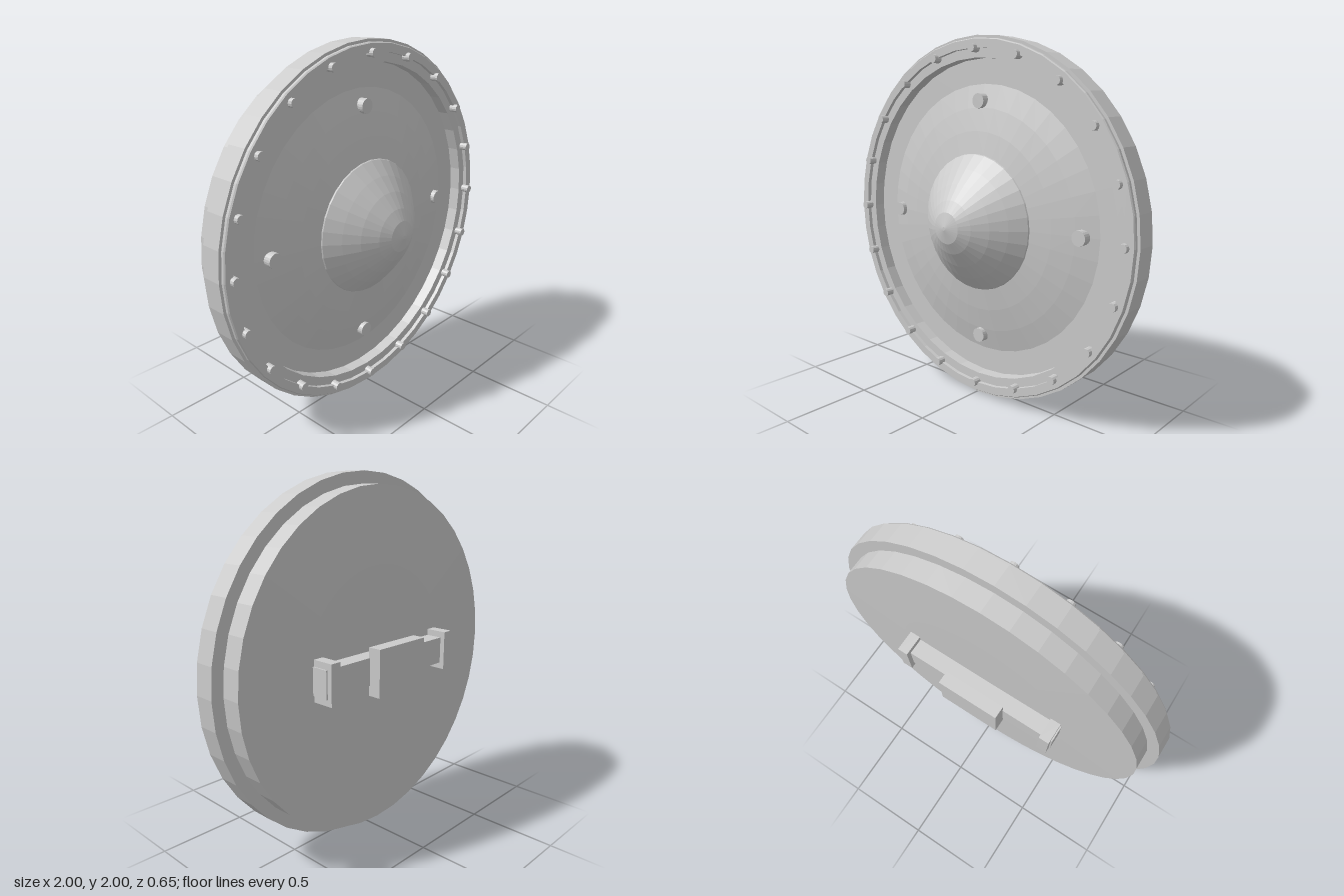
import * as THREE from 'three';

const SEGMENTS = 40;

export function createModel() {
  const shield = new THREE.Group();
  shield.name = 'roundShield';
  const flat = new THREE.MeshStandardMaterial({ color: 0xcccccc, flatShading: true });

  const add = (name, geometry, x = 0, y = 0, z = 0) => {
    const mesh = new THREE.Mesh(geometry, flat);
    mesh.name = name;
    mesh.position.set(x, 1 + y, z);
    shield.add(mesh);
    return mesh;
  };

  // Solid of revolution around the z axis from [radius, z] pairs, listed from back to front
  const turned = (points, segments = SEGMENTS) =>
    new THREE.LatheGeometry(points.map(([r, z]) => new THREE.Vector2(r, z)), segments).rotateX(Math.PI / 2);

  // Short round peg along z
  const peg = (radius, back, front, sides) =>
    new THREE.CylinderGeometry(radius, radius, front - back, sides)
      .rotateX(Math.PI / 2).translate(0, 0, (front + back) / 2);

  // Backing drum with an almost flat rear face
  add('backDrum', turned([[0, -0.167], [0.53, -0.165], [0.935, -0.16], [0.935, -0.04]]));

  // Outer rim band with an open centre
  add('rim', turned([[0.885, -0.05], [1, -0.05], [1, 0.065], [0.885, 0.065], [0.885, -0.05]]));

  // Raised trim on the front of the rim
  add('rimTrim', turned([[0.985, 0.06], [0.985, 0.08], [0.98, 0.087], [0.935, 0.087], [0.935, 0.06]]));

  // Gently domed front face, levelling out towards the rim
  const face = [[0.89, 0]];
  for (let i = 0; i <= 6; i++) {
    const r = 0.75 * (1 - i / 6);
    face.push([r, 0.107 - 0.19 * r * r]);
  }
  add('frontFace', turned(face));

  // Pointed central boss
  add('boss', turned([[0.38, 0.075], [0.375, 0.087], [0.3, 0.155], [0.225, 0.217],
    [0.145, 0.273], [0.085, 0.306], [0.01, 0.325], [0, 0.325]], 32));

  // Small rivets around the rim
  for (let i = 0; i < 20; i++) {
    const a = (i / 20) * Math.PI * 2;
    add('rimRivet', peg(0.023, 0.05, 0.112, 12), 0.933 * Math.cos(a), 0.933 * Math.sin(a));
  }

  // Four larger studs on the face
  for (let i = 0; i < 4; i++) {
    const a = (i / 4) * Math.PI * 2;
    add('faceStud', peg(0.04, -0.02, 0.058, 20), 0.66 * Math.cos(a), 0.66 * Math.sin(a));
  }

  // Handle at the back: bar, end brackets and hand pad
  add('handleBar', new THREE.BoxGeometry(0.98, 0.15, 0.1), 0, 0, -0.21);
  for (const side of [-1, 1]) {
    add('handleBracket', new THREE.BoxGeometry(0.06, 0.22, 0.13), side * 0.452, 0, -0.222);
  }
  add('handPad', new THREE.BoxGeometry(0.36, 0.26, 0.075), 0, 0, -0.29);

  return shield;
}
